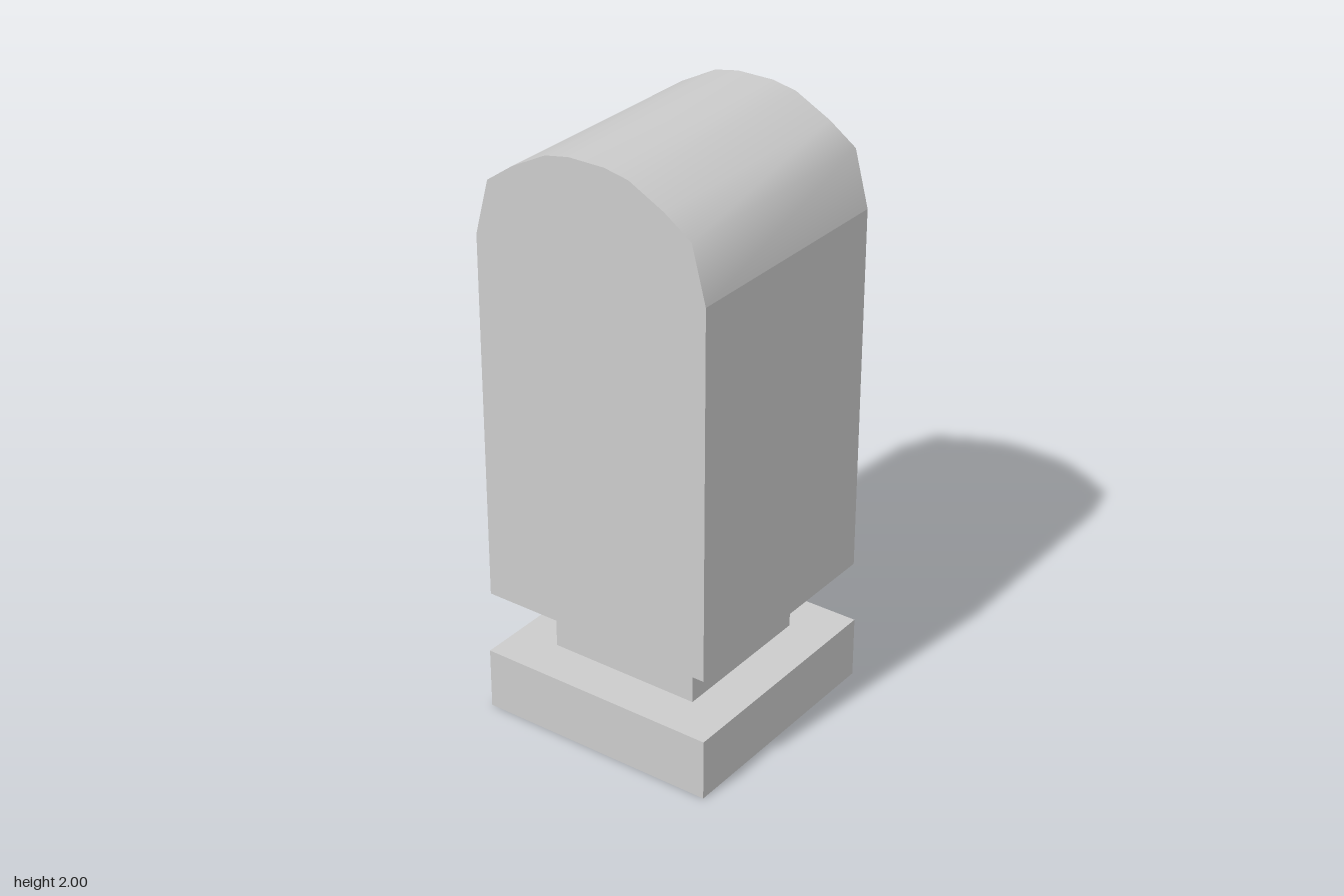
import * as THREE from 'three';
import { toCreasedNormals } from 'three/addons/utils/BufferGeometryUtils.js';

export function createModel() {
  const model = new THREE.Group();
  model.name = 'postBox';
  const material = new THREE.MeshStandardMaterial({ color: 0xcccccc });

  const add = (name, geometry, x = 0, y = 0, z = 0) => {
    const mesh = new THREE.Mesh(geometry, material);
    mesh.name = name;
    mesh.position.set(x, y, z);
    model.add(mesh);
  };
  // Box standing on y0 and reaching y1
  const block = (name, width, y0, y1, depth, x = 0) =>
    add(name, new THREE.BoxGeometry(width, y1 - y0, depth), x, (y0 + y1) / 2);
  const rect = (target, x0, y0, x1, y1) =>
    target.moveTo(x0, y0).lineTo(x1, y0).lineTo(x1, y1).lineTo(x0, y1).closePath();

  const half = 0.413;      // half width of the body
  const bottom = 0.425;    // underside of the body
  const spring = 1.67;     // where the arched top starts
  const slotDepth = 0.1;

  // Plinth and neck
  block('base', 0.84, 0, 0.21, 0.84);
  block('neck', 0.536, 0.21, bottom, 0.536);

  // Body: solid core plus a side wall pierced by the slot
  block('bodyCore', 2 * half - slotDepth, bottom, spring, 2 * half, slotDepth / 2);
  const wall = rect(new THREE.Shape(), -half, bottom, half, spring);
  wall.holes.push(rect(new THREE.Path(), -0.33, 1.37, 0.33, 1.538));
  const wallGeometry = new THREE.ExtrudeGeometry(wall, { depth: slotDepth, bevelEnabled: false });
  wallGeometry.rotateY(-Math.PI / 2);
  add('slotWall', wallGeometry, slotDepth - half);

  // Arched top: mirrored profile, smooth across the curve
  const side = [[half, spring], [0.364, 1.854], [0.27, 1.92], [0.147, 1.984], [0.063, 2]];
  const mirrored = side.map(([x, y]) => [-x, y]).reverse();
  const arch = new THREE.Shape([...side, ...mirrored].map(([x, y]) => new THREE.Vector2(x, y)));
  const archGeometry = new THREE.ExtrudeGeometry(arch, { depth: 2 * half, bevelEnabled: false });
  add('archedTop', toCreasedNormals(archGeometry, Math.PI / 4), 0, 0, -half);

  return model;
}
